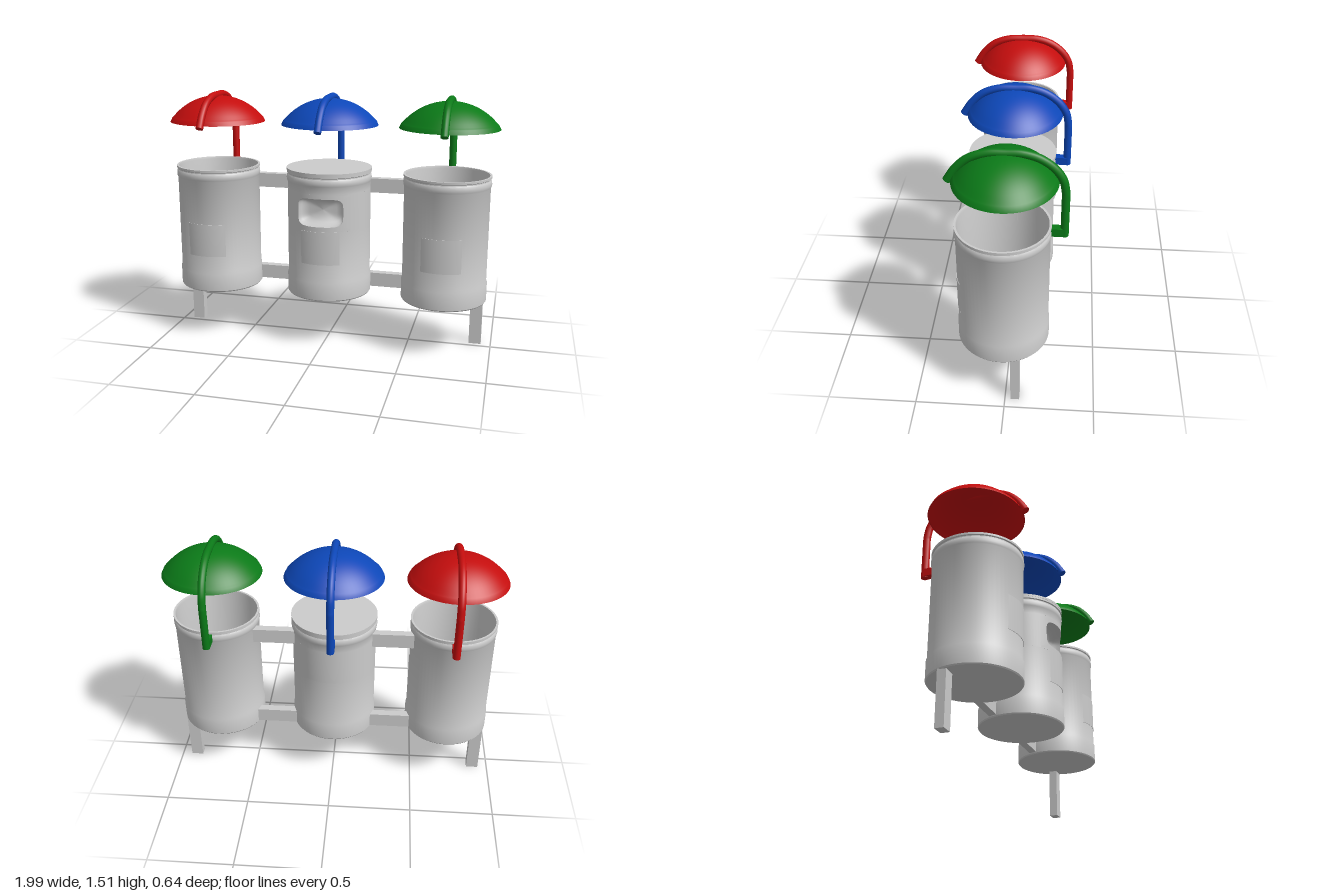
import * as THREE from 'three';
import { toCreasedNormals } from 'three/addons/utils/BufferGeometryUtils.js';

const grey = new THREE.MeshStandardMaterial({ color: 0xcccccc, side: THREE.DoubleSide });
const R = 0.25;          // bin body radius
const BIN_Z = 0.022;     // bin axis offset
const SPACING = 0.707;   // distance between bins
const SLOT = { y: 0.843, w: 0.135, h: 0.083, patchW: 0.17, patchH: 0.11 };

function add(parent, name, geometry, material, x = 0, y = 0, z = 0) {
  const mesh = new THREE.Mesh(geometry, material);
  mesh.name = name;
  mesh.position.set(x, y, z);
  parent.add(mesh);
  return mesh;
}

function lathe(profile, start = 0, length = Math.PI * 2, segments = 64) {
  const points = profile.map(([r, y]) => new THREE.Vector2(r, y));
  return toCreasedNormals(new THREE.LatheGeometry(points, segments, start, length), 0.5);
}

// Bin profiles: base band, then rolled rim
const base = [[0, 0.305], [0.25, 0.305], [0.255, 0.312], [0.255, 0.418], [R, 0.43]];
const rim = [[R, 0.992], [0.254, 1.0], [0.256, 1.015], [0.254, 1.032], [0.249, 1.04],
  [0.249, 1.046], [0.255, 1.05], [0.255, 1.062]];

// Closed outline of the slot: k = 1 is the rounded slot, 'square' is the patch border
function outline(square, perSide = 16) {
  const points = [];
  for (let side = 0; side < 4; side++) {
    for (let i = 0; i < perSide; i++) {
      const t = -1 + (2 * i) / perSide;
      const [u, v] = [[t, -1], [1, t], [-t, 1], [-1, -t]][side];
      const n = 5;
      const s = square ? 1 : 1 / Math.pow(Math.abs(u) ** n + Math.abs(v) ** n, 1 / n);
      points.push(square ? [u * SLOT.patchW, v * SLOT.patchH] : [u * s * SLOT.w, v * s * SLOT.h]);
    }
  }
  return points;
}

// Skins a list of equal-length rings, outermost first
function skin(rings) {
  const n = rings[0].length;
  const positions = rings.flat(2);
  const index = [];
  for (let r = 0; r + 1 < rings.length; r++) {
    for (let i = 0; i < n; i++) {
      const j = (i + 1) % n;
      const a = r * n + i, b = r * n + j, c = a + n, d = b + n;
      index.push(a, b, d, a, d, c);
    }
  }
  const geometry = new THREE.BufferGeometry();
  geometry.setAttribute('position', new THREE.Float32BufferAttribute(positions, 3));
  geometry.setIndex(index);
  geometry.computeVertexNormals();
  return geometry;
}

const onWall = (x, y, depth = 0) => [x, SLOT.y + y, Math.sqrt(R * R - x * x) - depth];

function addSlot(bin) {
  const outer = outline(true), inner = outline(false);
  // Wall around the slot, bent to the cylinder
  const wallRings = [0, 0.25, 0.5, 0.75, 1].map(t => outer.map(([x, y], i) =>
    onWall(x + (inner[i][0] - x) * t, y + (inner[i][1] - y) * t)));
  add(bin, 'slotSurround', skin(wallRings), grey);
  // Scooped pocket behind the slot
  const pocket = [[1, 0], [0.99, 0.02], [0.94, 0.05], [0.82, 0.075], [0.6, 0.09], [0.3, 0.098], [0, 0.1]];
  add(bin, 'slotPocket', skin(pocket.map(([k, d]) =>
    inner.map(([x, y]) => onWall(x * k, y * k, d)))), grey);
}

function makeBin(withLid) {
  const bin = new THREE.Group();
  if (withLid) {
    const low = SLOT.y - SLOT.patchH, high = SLOT.y + SLOT.patchH;
    const gap = Math.asin(SLOT.patchW / R);
    add(bin, 'lowerBody', lathe([...base, [R, low]]), grey);
    add(bin, 'middleBody', lathe([[R, low], [R, high]], gap, Math.PI * 2 - 2 * gap), grey);
    add(bin, 'upperBody', lathe([[R, high], ...rim]), grey);
    add(bin, 'flatLid', new THREE.CylinderGeometry(0.256, 0.256, 0.013, 64), grey, 0, 1.0685, 0);
    addSlot(bin);
  } else {
    // Open bin with a thin inner wall and floor
    add(bin, 'openBody', lathe([...base, ...rim, [0.243, 1.062], [0.24, 1.05], [0.24, 0.32], [0, 0.32]]), grey);
  }
  // Curved label plate on the front
  const half = Math.asin(0.115 / R);
  add(bin, 'frontPlate', lathe([[0.249, 0.53], [0.2525, 0.53], [0.2525, 0.73], [0.249, 0.73]],
    -half, half * 2, 16), grey);
  return bin;
}

// Canopy support: from the front tip over the dome and down behind the bin
class Hoop extends THREE.CurvePath {
  constructor() {
    super();
    const v = (z, y) => new THREE.Vector3(0, y, z);
    this.add(new THREE.CatmullRomCurve3([v(0.302, 1.313), v(0.255, 1.385), v(0.19, 1.445), v(0.1, 1.478),
      v(0, 1.483), v(-0.08, 1.482), v(-0.165, 1.457), v(-0.24, 1.402), v(-0.284, 1.335), v(-0.299, 1.26)]));
    this.add(new THREE.LineCurve3(v(-0.299, 1.26), v(-0.299, 1.0)));
  }
}

function makeCanopy(color) {
  const canopy = new THREE.Group();
  const paint = new THREE.MeshStandardMaterial({ color, side: THREE.DoubleSide });
  // Shallow dome with a flared lip, hollow below
  const arc = [];
  const rise = 0.118, chord = 0.264, radius = (chord * chord + rise * rise) / (2 * rise);
  const sweep = Math.asin(chord / radius);
  for (let i = 0; i <= 14; i++) {
    const a = sweep * (1 - i / 14);
    arc.push([radius * Math.sin(a), 1.48 - radius * (1 - Math.cos(a))]);
  }
  const inside = arc.map(([r, y]) => [r * 0.98, y - 0.008]).reverse();
  const profile = [...inside, [0.283, 1.325], [0.29, 1.325], [0.278, 1.349], [0.272, 1.354], ...arc];
  add(canopy, 'dome', lathe(profile), paint, 0, 0, 0.007).scale.z = 0.94;

  const hoop = new Hoop();
  add(canopy, 'hoop', new THREE.TubeGeometry(hoop, 72, 0.022, 14), paint);
  // Flat ends of the hoop
  [0, 1].forEach(t => {
    const cap = add(canopy, 'hoopEnd', new THREE.CircleGeometry(0.022, 14), paint);
    cap.position.copy(hoop.getPointAt(t));
    const out = hoop.getTangentAt(t).multiplyScalar(t ? 1 : -1);
    cap.quaternion.setFromUnitVectors(new THREE.Vector3(0, 0, 1), out);
  });
  add(canopy, 'bracket', new THREE.BoxGeometry(0.044, 0.046, 0.07), paint, 0, 1.025, -0.262);
  return canopy;
}

export function createModel() {
  const model = new THREE.Group();
  model.name = 'recyclingStation';

  [['red', 0xc40d0d], ['blue', 0x0d47b8], ['green', 0x0b7a18]].forEach(([name, color], i) => {
    const x = (i - 1) * SPACING;
    const bin = makeBin(i === 1);
    bin.name = name + 'Bin';
    bin.position.set(x, 0, BIN_Z);
    const canopy = makeCanopy(color);
    canopy.name = name + 'Canopy';
    canopy.position.x = x;
    model.add(bin, canopy);
  });

  for (const side of [-1, 1]) {
    // Rails joining neighbouring bins
    for (const y of [0.36, 0.957]) {
      add(model, 'rail', new THREE.BoxGeometry(0.245, 0.086, 0.048), grey, side * SPACING / 2, y, -0.064);
    }
    // Legs under the outer bins
    add(model, 'leg', new THREE.BoxGeometry(0.073, 0.31, 0.05), grey, side * 0.905, 0.155, -0.056);
  }
  return model;
}
